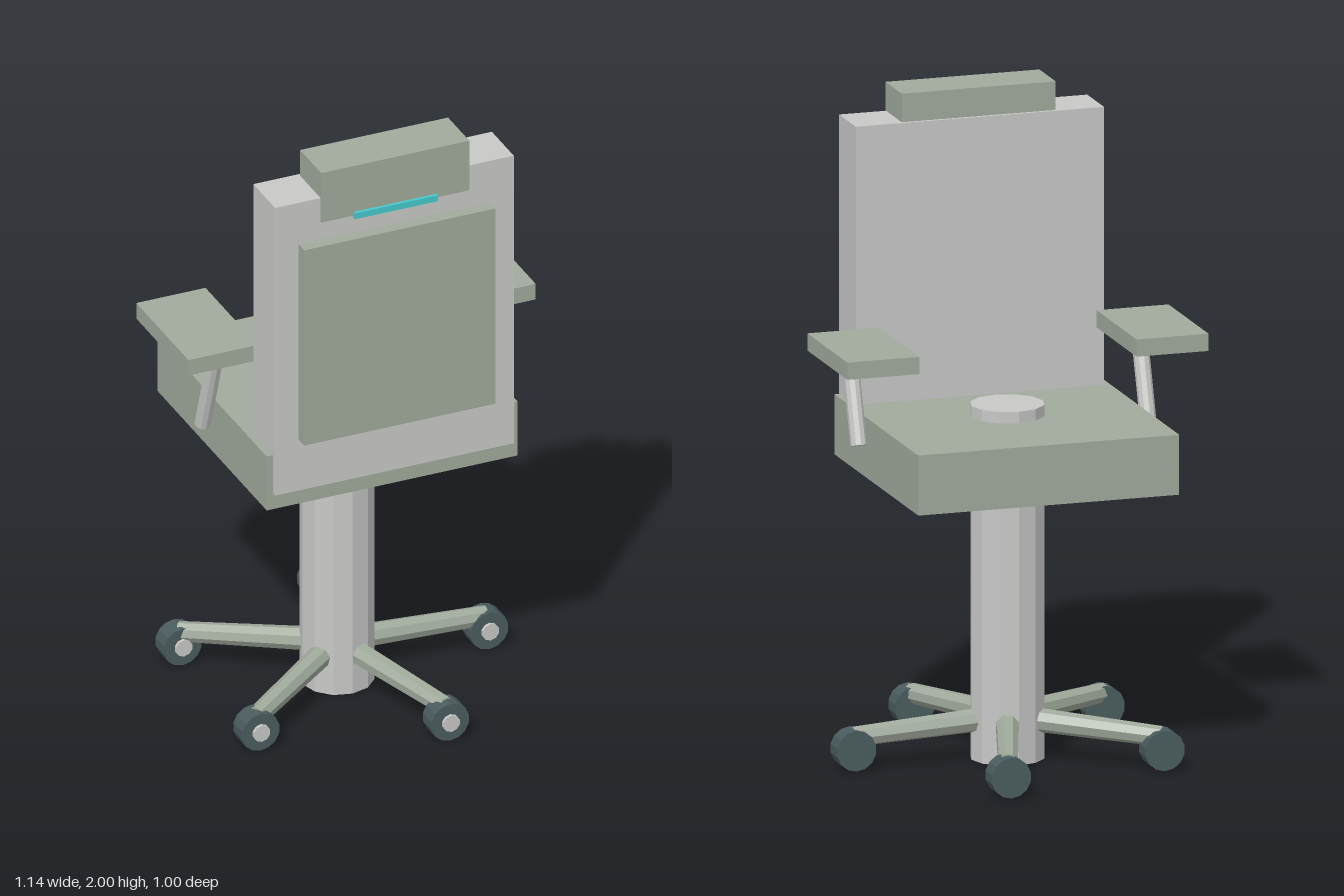
import * as THREE from 'three';

const mat = (name, color) => new THREE.MeshStandardMaterial({ name, color, flatShading: true });

export function createModel() {
  const model = new THREE.Group();
  model.name = 'officeChair';
  const padding = mat('sage padding', 0xa0aa9c);
  const metal = mat('light grey', 0xc8c8c7);
  const rubber = mat('dark slate', 0x4a5c5e);
  const accent = mat('cyan accent', 0x45c8cc);

  const add = (name, geometry, material, parent = model) => {
    const mesh = new THREE.Mesh(geometry, material);
    mesh.name = name;
    parent.add(mesh);
    return mesh;
  };
  // box given by its limits on each axis
  const box = (name, material, [x0, x1], [y0, y1], [z0, z1]) =>
    add(name, new THREE.BoxGeometry(x1 - x0, y1 - y0, z1 - z0), material)
      .position.set((x0 + x1) / 2, (y0 + y1) / 2, (z0 + z1) / 2);
  // cylinder running from point a to point b
  const rod = (name, material, a, b, ra, rb, sides, parent = model) => {
    const dir = b.clone().sub(a);
    const mesh = add(name, new THREE.CylinderGeometry(rb, ra, dir.length(), sides), material, parent);
    mesh.position.copy(a).add(b).multiplyScalar(0.5);
    mesh.quaternion.setFromUnitVectors(new THREE.Vector3(0, 1, 0), dir.normalize());
    return mesh;
  };
  const v = (x, y, z) => new THREE.Vector3(x, y, z);

  // seat and back
  box('seat', padding, [-0.412, 0.41], [0.87, 1.055], [-0.404, 0.394]);
  box('backrest', metal, [-0.392, 0.39], [0.925, 1.912], [0.251, 0.411]);
  box('backPanel', padding, [-0.315, 0.312], [1.1, 1.77], [0.4, 0.452]);
  box('headrest', padding, [-0.243, 0.242], [1.83, 2], [0.261, 0.416]);
  box('accentStrip', accent, [-0.137, 0.134], [1.823, 1.843], [0.4, 0.427]);

  // armrests with slanted supports
  for (const s of [-1, 1]) {
    const side = s > 0 ? 'left' : 'right';
    const inner = s * 0.342, outer = s * 0.569;
    box(side + 'Armrest', padding, [Math.min(inner, outer), Math.max(inner, outer)], [1.255, 1.308], [-0.21, 0.172]);
    rod(side + 'ArmSupport', metal, v(s * 0.456, 0.988, 0.024), v(s * 0.456, 1.27, 0.118), 0.025, 0.025, 10);
  }

  // column and five-armed base
  const cx = -0.002, cz = -0.006;
  rod('column', metal, v(cx, 0, cz), v(cx, 1.09, cz), 0.113, 0.113, 12);
  for (let i = 0; i < 5; i++) {
    const angle = (i * Math.PI * 2) / 5;
    const at = (r, y, dz = 0) => v(cx + r * Math.cos(angle), y, cz + r * Math.sin(angle) + dz);
    const arm = new THREE.Group();
    arm.name = 'baseArm' + (i + 1);
    model.add(arm);
    rod('leg', padding, at(0.05, 0.124), at(0.485, 0.1), 0.037, 0.031, 8, arm);
    rod('casterWheel', rubber, at(0.485, 0.0625, -0.0325), at(0.485, 0.0625, 0.0325), 0.0625, 0.0625, 14, arm);
    rod('wheelHub', metal, at(0.485, 0.0625, 0), at(0.485, 0.0625, 0.042), 0.028, 0.028, 10, arm);
  }
  return model;
}
